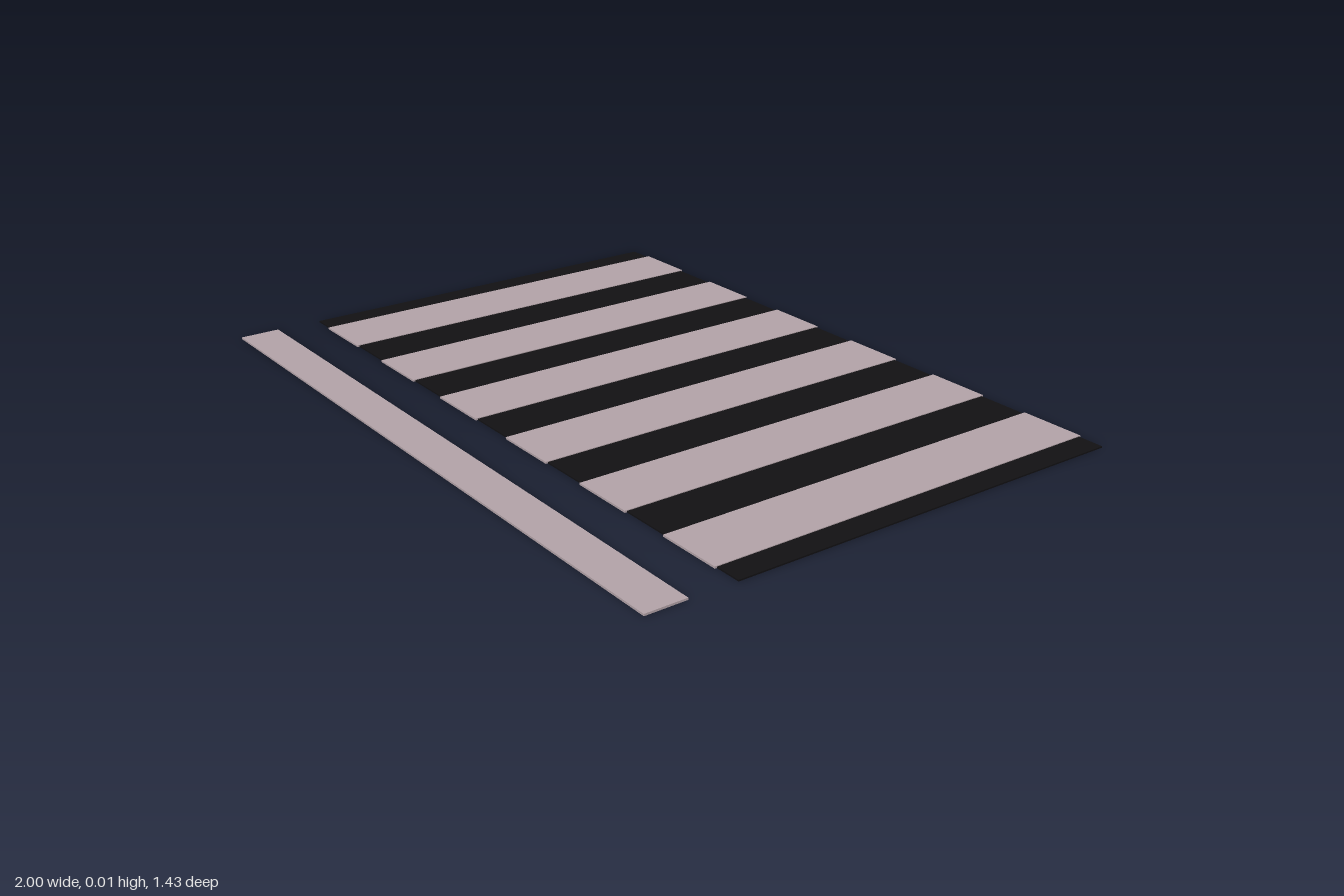
import * as THREE from 'three';

export function createModel() {
  const model = new THREE.Group();
  model.name = 'pedestrianCrossing';
  const asphalt = new THREE.MeshStandardMaterial({ color: 0x121113 });
  const paint = new THREE.MeshStandardMaterial({ color: 0xb3a3a8 });

  // Flat slab given by its width, z range and y range
  function slab(name, material, x, width, z0, z1, y0, y1) {
    const mesh = new THREE.Mesh(new THREE.BoxGeometry(width, y1 - y0, z1 - z0), material);
    mesh.position.set(x, (y0 + y1) / 2, (z0 + z1) / 2);
    mesh.name = name;
    model.add(mesh);
  }

  // Dark road surface
  slab('roadBase', asphalt, 0, 2, -0.711, 0.466, 0, 0.004);

  // Six painted stripes, slightly overlapping the road's ends
  const count = 6;
  const pitch = 1 / 3;
  for (let i = 0; i < count; i++) {
    slab('stripe' + (i + 1), paint, (i - (count - 1) / 2) * pitch, 0.186, -0.716, 0.472, 0.0005, 0.006);
  }

  // Stop line in front of the crossing
  slab('stopLine', paint, 0, 2, 0.601, 0.716, 0.0005, 0.006);

  return model;
}
